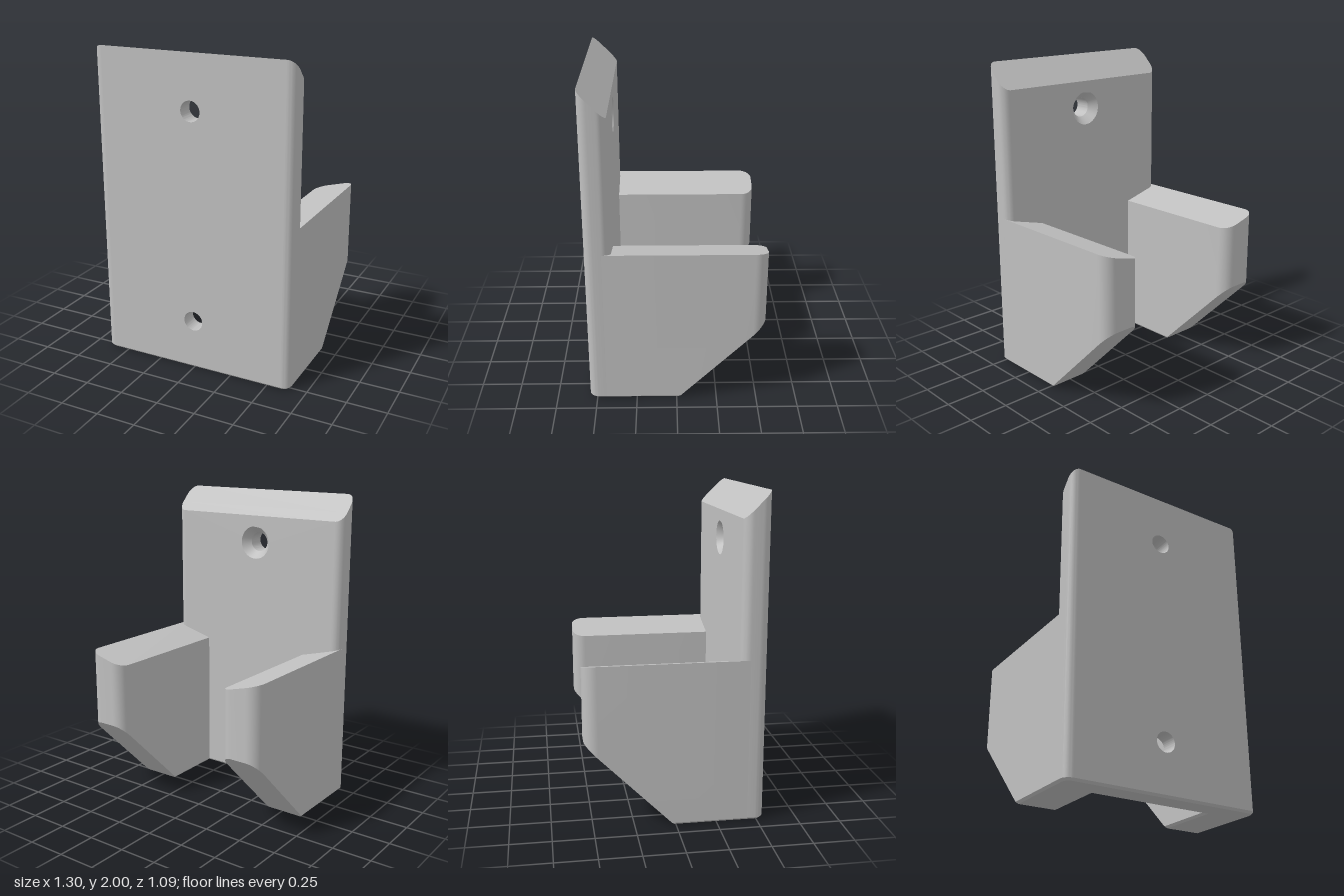
import * as THREE from 'three';
import { toCreasedNormals } from 'three/addons/utils/BufferGeometryUtils.js';
import { ConvexGeometry } from 'three/addons/geometries/ConvexGeometry.js';

const W = 0.65, FRONT = 0.547, BACK = 0.387, SEAT = 0.44; // half width, plate faces, countersink depth
const R = 0.055, CH = 0.014;                              // plate corner radius, bottom chamfer
const HOLES = [0.325, 1.66];
const V = (x, y, z) => new THREE.Vector3(x, y, z);

// Quarter arc in plan, as [x, z] pairs
function arc(cx, cz, r, start, n = 10) {
  return Array.from({ length: n + 1 }, (_, i) => {
    const a = start + (i / n) * Math.PI / 2;
    return [cx + r * Math.cos(a), cz + r * Math.sin(a)];
  });
}

const hull = (points) => toCreasedNormals(new ConvexGeometry(points), 0.5);
const plateTop = (z) => 2 - (FRONT - z);

// Layer of the plate between two depths, with screw holes and a 45 degree top
function slab(z0, z1, radius) {
  const x = W - R;
  const shape = new THREE.Shape([[-x, CH], [x, CH], [x, 2], [-x, 2]].map(([a, b]) => new THREE.Vector2(a, b)));
  for (const y of HOLES) shape.holes.push(new THREE.Path().absarc(0, y, radius, 0, Math.PI * 2, true));
  const g = new THREE.ExtrudeGeometry(shape, { depth: z1 - z0, bevelEnabled: false, curveSegments: 40 });
  g.translate(0, 0, z0);
  const p = g.attributes.position;
  for (let i = 0; i < p.count; i++) if (p.getY(i) > 1.99) p.setY(i, plateTop(p.getZ(i)));
  return toCreasedNormals(g, 0.5);
}

// Rounded long edge of the plate
function plateEdge(side) {
  const plan = [...arc(W - R, BACK + R, R, -Math.PI / 2), ...arc(W - R, FRONT - R, R, 0)];
  return hull(plan.flatMap(([x, z]) => [V(side * x, CH, z), V(side * x, plateTop(z), z)]));
}

// Chamfered foot under the plate
function plateFoot() {
  const plan = (inset) => [...arc(W - R, BACK + R, R - inset, -Math.PI / 2), ...arc(W - R, FRONT - R, R - inset, 0)];
  const ring = (inset, y) => plan(inset).flatMap(([x, z]) => [V(x, y, z), V(-x, y, z)]);
  return hull([...ring(0, CH), ...ring(CH, 0)]);
}

// Arm with rounded tip, 45 degree underside and a top that slopes down inward
function arm(side) {
  const inner = 0.387, tip = -0.547, r = 0.082, kink = -0.01, root = BACK + R;
  const top = (x) => 1.016 - 0.268 * (W - x);
  const pts = [];
  for (const [x, z] of [...arc(inner + r, tip + r, r, Math.PI), ...arc(W - r, tip + r, r, -Math.PI / 2)])
    pts.push(V(side * x, kink - z, z), V(side * x, top(x), z));
  for (const [x, inset] of [[inner, CH], [W, -CH]]) {
    pts.push(V(side * x, top(x), root), V(side * x, CH, root), V(side * x, CH, kink - CH));
    pts.push(V(side * (x + inset), 0, root), V(side * (x + inset), 0, kink));
  }
  return hull(pts);
}

export function createModel() {
  const model = new THREE.Group();
  model.name = 'wallBracket';
  const grey = new THREE.MeshStandardMaterial({ color: 0xc0c0c0, side: THREE.DoubleSide });
  grey.name = 'light grey';
  const add = (name, geometry) => {
    const mesh = new THREE.Mesh(geometry, grey);
    mesh.name = name;
    model.add(mesh);
    return mesh;
  };

  // Mounting plate
  add('plateFront', slab(SEAT, FRONT, 0.063));
  add('plateBack', slab(BACK, SEAT, 0.108));
  add('plateFoot', plateFoot());

  // Countersinks around the screw holes
  for (const y of HOLES) {
    const cone = new THREE.CylinderGeometry(0.063, 0.108, SEAT - BACK, 48, 1, true);
    cone.rotateX(Math.PI / 2);
    add('countersink', cone).position.set(0, y, (SEAT + BACK) / 2);
  }

  // Mirrored plate edges and arms
  for (const [name, side] of [['left', 1], ['right', -1]]) {
    add(name + 'PlateEdge', plateEdge(side));
    add(name + 'Arm', arm(side));
  }
  return model;
}
